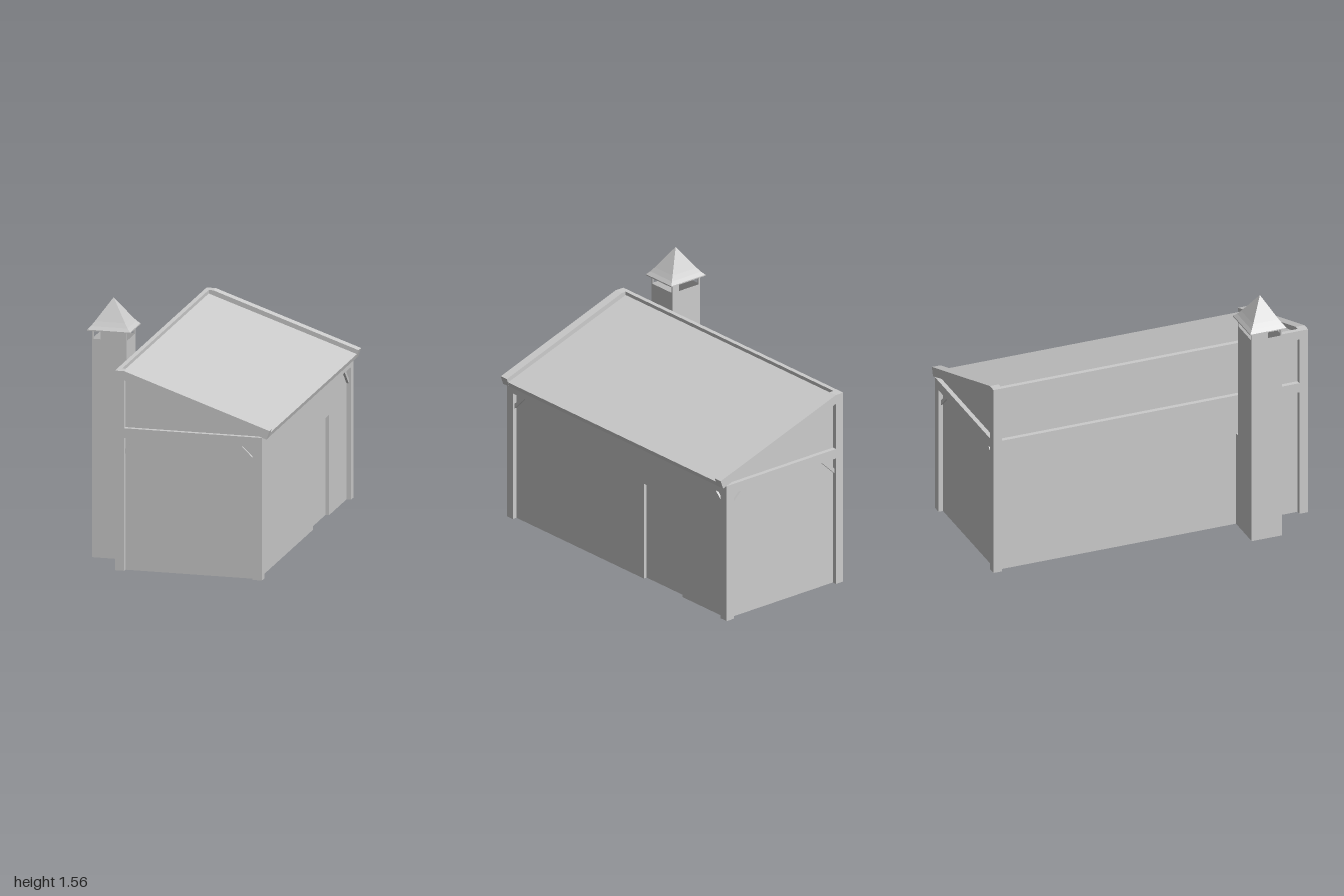
import * as THREE from 'three';

const mat = new THREE.MeshStandardMaterial({ color: 0xcccccc, flatShading: true, side: THREE.DoubleSide });

export function createModel() {
  const root = new THREE.Group();
  const add = (name, geo) => {
    const m = new THREE.Mesh(geo, mat);
    m.name = name;
    root.add(m);
    return m;
  };
  // box given by its limits on each axis
  const box = (name, x0, x1, y0, y1, z0, z1) =>
    add(name, new THREE.BoxGeometry(x1 - x0, y1 - y0, z1 - z0)
      .translate((x0 + x1) / 2, (y0 + y1) / 2, (z0 + z1) / 2));
  const shape = (pts) => new THREE.Shape(pts.map(([a, b]) => new THREE.Vector2(a, b)));
  // profile in x,y drawn out along z
  const prism = (name, pts, z0, z1) =>
    add(name, new THREE.ExtrudeGeometry(shape(pts), { depth: z1 - z0, bevelEnabled: false }).translate(0, 0, z0));
  // profile in z,y drawn out along x
  const sidePrism = (name, pts, x0, x1) =>
    add(name, new THREE.ExtrudeGeometry(shape(pts), { depth: x1 - x0, bevelEnabled: false })
      .rotateY(-Math.PI / 2).translate(x1, 0, 0));
  // thin sheets facing along z, x and y
  const sheetZ = (name, pts, z) => add(name, new THREE.ShapeGeometry(shape(pts)).translate(0, 0, z));
  const sheetX = (name, pts, x) =>
    add(name, new THREE.ShapeGeometry(shape(pts)).rotateY(-Math.PI / 2).translate(x, 0, 0));
  const sheetY = (name, x0, x1, z0, z1, y) =>
    add(name, new THREE.PlaneGeometry(x1 - x0, z1 - z0).rotateX(-Math.PI / 2)
      .translate((x0 + x1) / 2, y, (z0 + z1) / 2));
  const rect = (a0, a1, b0, b1) => [[a0, b0], [a1, b0], [a1, b1], [a0, b1]];

  const L0 = -0.353, L1 = -0.297, R0 = 0.485, R1 = 0.542; // post limits in x
  const ZI = 0.945, WZ = 0.972, WL = -0.325, WR = 0.514;  // inner post edge and wall planes
  const B0 = 0.805, B1 = 0.865;                           // tie beam heights

  // timber frame and end walls, the same at front and back
  for (const s of [1, -1]) {
    const end = s > 0 ? 'front' : 'back';
    const z0 = s > 0 ? ZI : -1, z1 = s > 0 ? 1 : -ZI;
    box(end + 'TallPost', L0, L1, 0, 1.156, z0, z1);
    box(end + 'ShortPost', R0, R1, 0, B1, z0, z1);
    box(end + 'TieBeam', L1, R0, B0, B1, z0, z1);
    prism(end + 'Rafter', [[L0, 1.155], [L1, 1.155], [0.57, 0.857], [0.588, 0.91], [L1, 1.211], [L0, 1.211]], z0, z1);
    sheetZ(end + 'Wall', [[WL, 0], [WR, 0], [WR, 0.89], [WL, 1.178]], s * WZ);

    // diagonal corner braces
    const c = s * WZ;
    for (const [x, d] of [[L1, 1], [R0, -1]])
      prism(end + 'Brace', [[x, 0.705], [x + d * 0.105, B0], [x + d * 0.075, B0], [x, 0.735]], c - 0.014, c + 0.014);
    const z = s * ZI;
    sidePrism('sideBrace', [[z, 0.705], [z - s * 0.1, B0], [z - s * 0.072, B0], [z, 0.735]], WR - 0.014, WR + 0.014);
  }

  // long beams
  box('lowEavesBeam', R0, R1, B0, B1, -ZI, ZI);
  box('tallWallBeam', L0, L1, B0, B1, -ZI, ZI);
  box('ridgeBeam', L0, WL, 1.155, 1.211, -ZI, ZI);

  // sloping roof sunk between the rafters
  prism('roof', [[WL, 1.165], [0.57, 0.858], [0.578, 0.886], [WL, 1.19]], -ZI, ZI);

  // low side wall with a recessed door
  const D0 = -0.567, D1 = -0.213, DH = 0.608, DX = WR - 0.022;
  sheetX('lowSideWall', [[-WZ, 0], [D0, 0], [D0, DH], [D1, DH], [D1, 0], [WZ, 0], [WZ, 0.87], [-WZ, 0.87]], WR);
  sheetX('door', rect(D0, D1, 0, DH), DX);
  for (const z of [D0, D1]) sheetZ('doorJamb', rect(DX, WR, 0, DH), z);
  sheetY('doorHead', DX, WR, D0, D1, DH);

  // tall side wall with the hearth opening
  const C0 = 0.553, C1 = 0.745, CX = -0.565, CH = 1.325, H = 0.6;
  sheetX('tallSideWall', [[-WZ, 0], [C0, 0], [C0, H], [C1, H], [C1, 0], [WZ, 0], [WZ, 1.18], [-WZ, 1.18]], WL);

  // hollow chimney, reaching in to the wall at the hearth
  for (const z of [C0, C1])
    sheetZ('chimneySide', [[CX, 0], [WL, 0], [WL, H], [L0, H], [L0, CH], [CX, CH]], z);
  sheetX('chimneyOuterFace', rect(C0, C1, 0, CH), CX);
  sheetX('chimneyInnerFace', rect(C0, C1, H, CH), L0);
  sheetY('hearthHead', L0, WL, C0, C1, H);

  // cap on four little legs
  const t = 0.01;
  for (const x of [CX, L0 - t])
    for (const z of [C0, C1 - t]) box('capLeg', x, x + t, CH, 1.38, z, z + t);
  const cx = (CX + L0) / 2, cz = (C0 + C1) / 2;
  box('capRim', cx - 0.131, cx + 0.131, 1.376, 1.383, cz - 0.115, cz + 0.115);
  const profile = [[0.131, 1.383], [0.112, 1.402], [0.092, 1.428], [0, 1.56]]
    .map(([r, y]) => new THREE.Vector2(r * Math.SQRT2, y));
  add('chimneyCap', new THREE.LatheGeometry(profile, 4, Math.PI / 4)
    .scale(1, 1, 0.115 / 0.131).translate(cx, 0, cz));

  return root;
}
